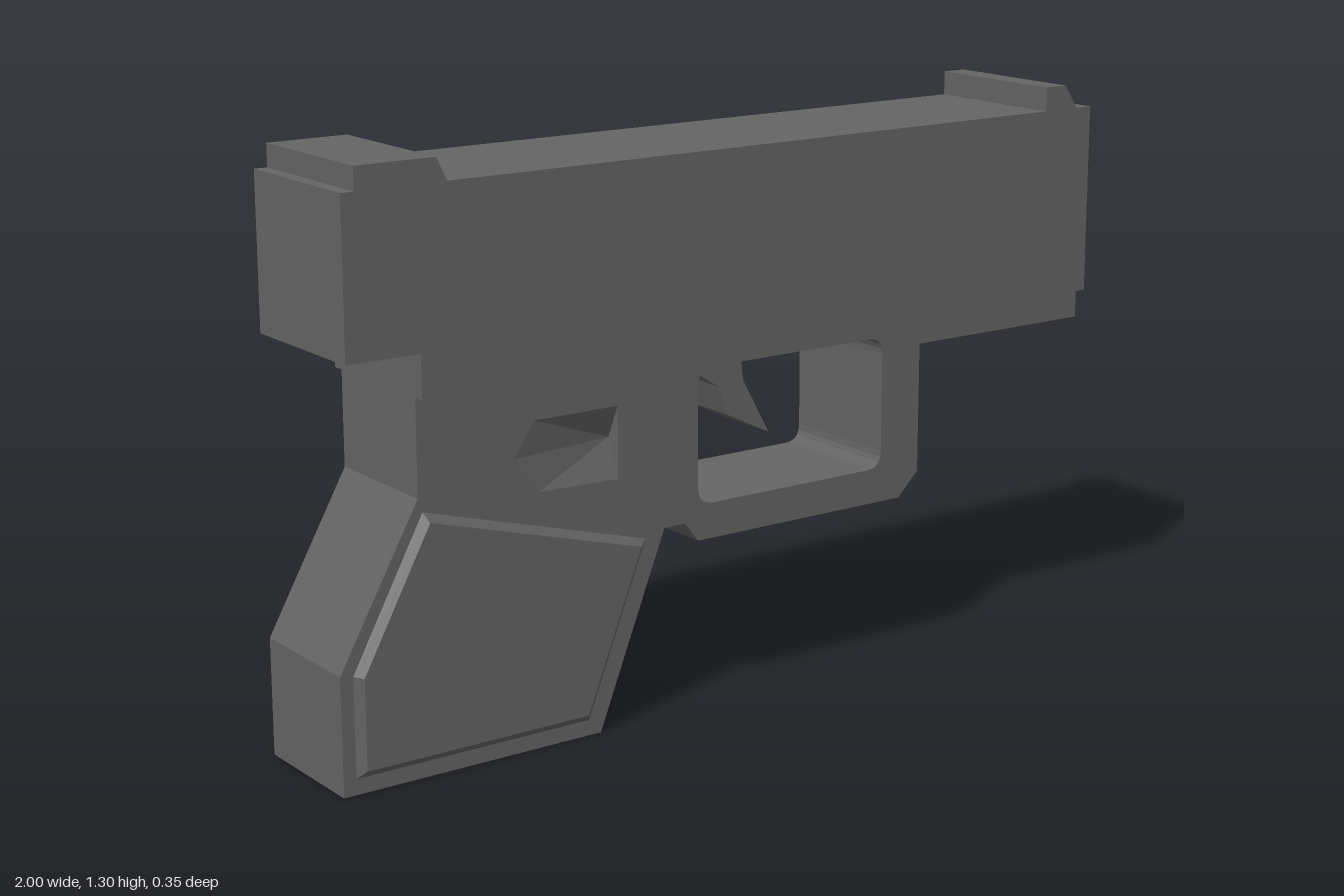
import * as THREE from 'three';

const HALF_FRAME = 0.15, HALF_SLIDE = 0.177, RECESS_LAYER = 0.04;
const MUZZLE_X = 0.7;

const toShape = (pts) => new THREE.Shape(pts.map(([x, y]) => new THREE.Vector2(x, y)));

// Rectangle with rounded corners, used as a hole
function roundedHole(x0, y0, x1, y1, r) {
  const p = new THREE.Path();
  p.moveTo(x0 + r, y0);
  p.lineTo(x1 - r, y0);
  p.quadraticCurveTo(x1, y0, x1, y0 + r);
  p.lineTo(x1, y1 - r);
  p.quadraticCurveTo(x1, y1, x1 - r, y1);
  p.lineTo(x0 + r, y1);
  p.quadraticCurveTo(x0, y1, x0, y1 - r);
  p.lineTo(x0, y0 + r);
  p.quadraticCurveTo(x0, y0, x0 + r, y0);
  return p;
}

export function createModel() {
  const group = new THREE.Group();
  const grey = new THREE.MeshStandardMaterial({ color: 0x646464 });
  grey.name = 'gunmetal grey';

  const add = (name, geometry) => {
    const mesh = new THREE.Mesh(geometry, grey);
    mesh.name = name;
    group.add(mesh);
    return mesh;
  };
  // Side profile extruded across z from z0 to z1
  const slab = (name, shape, z0, z1) => {
    const g = new THREE.ExtrudeGeometry(shape, { depth: z1 - z0, bevelEnabled: false, curveSegments: 5 });
    return add(name, g.translate(0, 0, z0));
  };

  // Slide with rear sight
  slab('slide', toShape([
    [-0.98, 0.905], [-0.81, 0.905], [-0.81, 0.81], [MUZZLE_X, 0.81], [MUZZLE_X, 1.245],
    [-0.74, 1.245], [-0.765, 1.295], [-0.95, 1.295], [-0.95, 1.245], [-0.98, 1.245],
  ]), -HALF_SLIDE, HALF_SLIDE);

  // Front end of the slide, with a square opening along x
  const muzzle = toShape([
    [-HALF_SLIDE, 0.81], [HALF_SLIDE, 0.81], [HALF_SLIDE, 1.245], [-HALF_SLIDE, 1.245],
  ]);
  muzzle.holes.push(new THREE.Path([[-0.095, 0.9], [-0.095, 1.09], [0.095, 1.09], [0.095, 0.9]]
    .map(([x, y]) => new THREE.Vector2(x, y))));
  const muzzleGeo = new THREE.ExtrudeGeometry(muzzle, { depth: 1 - MUZZLE_X, bevelEnabled: false });
  add('muzzle', muzzleGeo.rotateY(Math.PI / 2).translate(MUZZLE_X, 0, 0));

  slab('frontSight', toShape([[0.86, 1.24], [0.96, 1.24], [0.92, 1.3], [0.86, 1.3]]),
    -HALF_SLIDE, HALF_SLIDE);

  // Frame, grip and trigger guard in one outline
  const frameShape = () => {
    const s = toShape([
      [-1, 0], [-0.37, 0], [-0.2, 0.43], [-0.145, 0.43], [-0.11, 0.385], [0.46, 0.385],
      [0.515, 0.44], [0.515, 0.74], [1, 0.74], [1, 0.812], [-0.81, 0.812], [-0.81, 0.6], [-1, 0.26],
    ]);
    s.holes.push(roundedHole(-0.11, 0.465, 0.405, 0.77, 0.04));
    return s;
  };
  const inner = HALF_FRAME - RECESS_LAYER;
  slab('frameCore', frameShape(), -inner, inner);

  // Outer frame layers with a faceted thumb recess on each side
  const rim = [[-0.58, 0.645], [-0.53, 0.72], [-0.32, 0.72], [-0.32, 0.56], [-0.52, 0.565]];
  for (const side of [1, -1]) {
    const label = side > 0 ? 'Left' : 'Right';
    const s = frameShape();
    s.holes.push(new THREE.Path(rim.map(([x, y]) => new THREE.Vector2(x, y))));
    slab('frameSide' + label, s, side > 0 ? inner : -HALF_FRAME, side > 0 ? HALF_FRAME : -inner);

    const pos = [];
    rim.forEach((a, i) => {
      const b = rim[(i + 1) % rim.length];
      const [p, q] = side > 0 ? [b, a] : [a, b];
      pos.push(-0.32, 0.645, side * (HALF_FRAME - 0.035));
      pos.push(...p, side * HALF_FRAME, ...q, side * HALF_FRAME);
    });
    const g = new THREE.BufferGeometry();
    g.setAttribute('position', new THREE.Float32BufferAttribute(pos, 3));
    g.computeVertexNormals();
    add('thumbRecess' + label, g);
  }

  // Bevelled grip panels, standing out on both sides
  const panel = new THREE.ExtrudeGeometry(toShape([
    [-0.97, 0.035], [-0.4, 0.035], [-0.25, 0.415], [-0.8, 0.57], [-0.97, 0.255],
  ]), {
    depth: HALF_FRAME * 2, bevelEnabled: true, bevelSegments: 1,
    bevelThickness: 0.016, bevelSize: 0.017, bevelOffset: -0.017,
  });
  add('gripPanels', panel.translate(0, 0, -HALF_FRAME));

  // Trigger
  slab('trigger', toShape([
    [-0.1, 0.775], [-0.1, 0.762], [0, 0.7], [0.025, 0.632], [0.14, 0.575], [0.068, 0.705], [0.06, 0.775],
  ]), -0.075, 0.075);

  return group;
}
